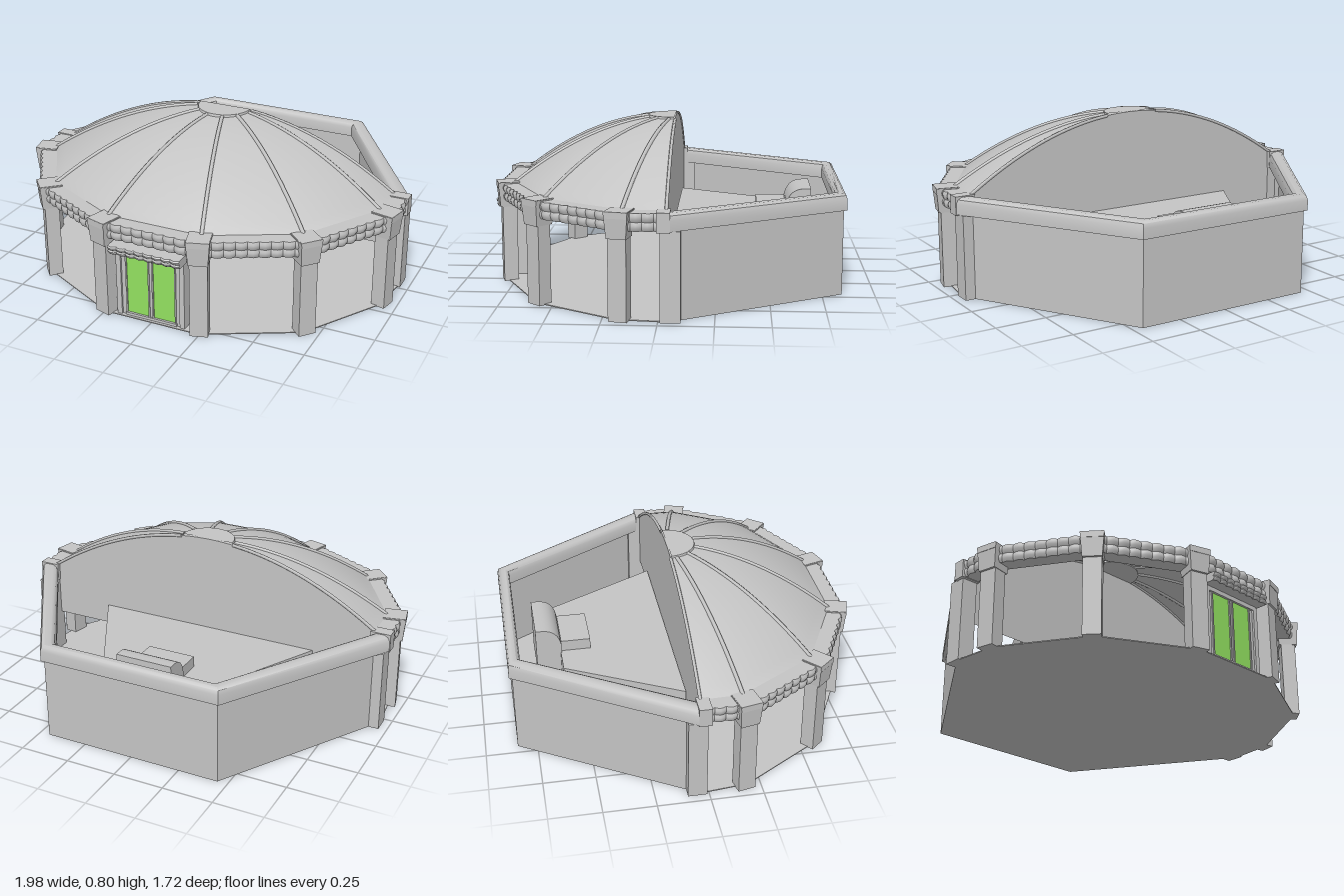
import * as THREE from 'three';
import { toCreasedNormals } from 'three/addons/utils/BufferGeometryUtils.js';

const stone = new THREE.MeshStandardMaterial({ color: 0xc4c4c4, side: THREE.DoubleSide });
stone.name = 'grey stone';
const glass = new THREE.MeshStandardMaterial({ color: 0x92e060 });
glass.name = 'green glass';

const ZB = -0.035; // plane of the dome's flat back

function part(parent, name, geometry, x = 0, y = 0, z = 0, turn = 0, material = stone) {
  const m = new THREE.Mesh(geometry, material);
  m.name = name;
  m.position.set(x, y, z);
  m.rotation.y = turn;
  parent.add(m);
  return m;
}

const box = (w, h, d) => new THREE.BoxGeometry(w, h, d);

// Surface through a grid of points given by fn(i, j)
function loft(rows, cols, fn, crease = 0.6) {
  const pos = [], idx = [];
  for (let i = 0; i < rows; i++) for (let j = 0; j < cols; j++) pos.push(...fn(i, j));
  for (let i = 0; i < rows - 1; i++) for (let j = 0; j < cols - 1; j++) {
    const a = i * cols + j, b = a + cols;
    idx.push(a, a + 1, b, b, a + 1, b + 1);
  }
  const g = new THREE.BufferGeometry();
  g.setAttribute('position', new THREE.Float32BufferAttribute(pos, 3));
  g.setIndex(idx);
  g.computeVertexNormals();
  return toCreasedNormals(g, crease);
}

// Right half of a plan, mirrored into a full run from +x to -x
const mirrored = (pts) => [...pts, ...pts.slice().reverse().map(([x, z]) => [-x, z])];

// Flat plate lying in plan
function slab(pts, height) {
  const s = new THREE.Shape(pts.map(([x, z]) => new THREE.Vector2(x, -z)));
  return new THREE.ExtrudeGeometry(s, { depth: height, bevelEnabled: false }).rotateX(-Math.PI / 2);
}

// Rounded cornice block, bulging and leaning outward on +z
function corniceBlock(w, h, d) {
  const g = new THREE.BoxGeometry(w, h, d, 4, 6, 1);
  const p = g.attributes.position;
  for (let i = 0; i < p.count; i++) {
    if (p.getZ(i) < 0) continue;
    const u = p.getX(i) / w + 0.5, v = p.getY(i) / h + 0.5;
    const bulge = Math.abs(Math.sin(v * Math.PI * 2)) * 0.008 + Math.sin(u * Math.PI) * 0.01;
    p.setZ(i, d / 2 - 0.018 + bulge + v * 0.008);
  }
  g.computeVertexNormals();
  return toCreasedNormals(g, 0.7);
}

export function createModel() {
  const model = new THREE.Group();
  model.name = 'domedPavilion';
  const plan = mirrored([[0.925, -0.035], [0.925, 0.17], [0.675, 0.565], [0.245, 0.78]]);

  // Floor
  const floorPlan = [...mirrored([[0.45, -0.845], [0.95, -0.035], [0.925, 0.19], [0.68, 0.58], [0.245, 0.8]])];
  part(model, 'floor', slab(floorPlan, 0.005));

  // Columns with flared capitals
  const columns = new THREE.Group();
  columns.name = 'columns';
  model.add(columns);
  plan.forEach(([x, z], i) => {
    if (i === 0 || i === plan.length - 1) {
      part(columns, 'endPilaster', box(0.08, 0.41, 0.09), Math.sign(x) * 0.92, 0.205, -0.055);
      part(columns, 'endCapital', box(0.1, 0.09, 0.06), x, 0.45, -0.025);
      return;
    }
    const turn = Math.atan2(x, z - ZB);
    part(columns, 'column', box(0.085, 0.42, 0.07), x, 0.21, z, turn);
    const cap = new THREE.CylinderGeometry(0.078, 0.064, 0.12, 4, 1).toNonIndexed().rotateY(Math.PI / 4);
    cap.computeVertexNormals();
    part(columns, 'capital', cap, x, 0.435, z, turn);
    part(columns, 'capitalTop', box(0.105, 0.03, 0.11), x, 0.482, z, turn);
  });

  // Scalloped cornice between the columns
  const cornice = new THREE.Group();
  cornice.name = 'cornice';
  model.add(cornice);
  for (let i = 0; i < plan.length - 1; i++) {
    const [ax, az] = plan[i], [bx, bz] = plan[i + 1];
    const len = Math.hypot(bx - ax, bz - az), n = Math.round(len / 0.052);
    const turn = Math.atan2(bz - az, -(bx - ax));
    const g = corniceBlock(len / n, 0.082, 0.085);
    for (let k = 0; k < n; k++) {
      const t = (k + 0.5) / n;
      part(cornice, 'corniceBlock', g, ax + (bx - ax) * t, 0.449, az + (bz - az) * t, turn);
    }
  }

  // Half dome with ribs and a flat crown
  const eave = mirrored([[0.89, ZB], [0.885, 0.16], [0.65, 0.54], [0.24, 0.745]]);
  const steps = 20;
  const domePoint = ([x, z], t) => [x * t, 0.49 + 0.31 * (1 - t * t), ZB + (z - ZB) * t];
  part(model, 'domeShell', loft(eave.length, steps + 1, (i, j) => domePoint(eave[i], j / steps), 0.9));
  eave.forEach((e, i) => {
    const pts = [];
    for (let k = 1; k <= 12; k++) pts.push(new THREE.Vector3(...domePoint(e, 0.08 + 0.92 * k / 12)));
    const end = i === 0 || i === eave.length - 1;
    part(model, 'domeRib', new THREE.TubeGeometry(new THREE.CatmullRomCurve3(pts), 24, end ? 0.008 : 0.01, 6));
  });
  part(model, 'domeCrown', new THREE.CylinderGeometry(0.135, 0.14, 0.02, 20, 1, false, -Math.PI / 2, Math.PI), 0, 0.792, ZB + 0.005);

  // Flat wall closing the dome's back, open at the bottom
  const back = new THREE.Shape();
  back.moveTo(-0.89, 0.21);
  back.lineTo(0.89, 0.21);
  for (let k = 0; k <= 40; k++) {
    const t = 1 - k / 20;
    back.lineTo(0.89 * t, 0.49 + 0.31 * (1 - t * t));
  }
  part(model, 'domeBackWall', new THREE.ShapeGeometry(back), 0, 0, ZB);

  // Rear court walls
  const wall = mirrored([[0.95, -0.035], [0.45, -0.845]]);
  part(model, 'rearWall', loft(4, 2, (i, j) => [wall[i][0], j * 0.43, wall[i][1]], 0.1));

  // Rounded coping on the rear walls
  const outer = mirrored([[0.975, -0.05], [0.46, -0.86]]);
  const inner = mirrored([[0.885, -0.04], [0.41, -0.8]]);
  const profile = [[1, 0.41], [0, 0.41], [0, 0.46], [0.1, 0.48], [0.3, 0.49], [0.7, 0.49], [0.9, 0.48], [1, 0.46], [1, 0.41]];
  part(model, 'rearCoping', loft(4, profile.length, (i, j) => {
    const [s, y] = profile[j];
    return [outer[i][0] + (inner[i][0] - outer[i][0]) * s, y, outer[i][1] + (inner[i][1] - outer[i][1]) * s];
  }));

  // Raised roof deck in the court with its vent
  part(model, 'courtDeck', slab(mirrored([[0.58, ZB - 0.005], [0.285, -0.59]]), 0.1), 0, 0.215, 0);
  part(model, 'ventBase', box(0.24, 0.06, 0.145), -0.01, 0.34, -0.513);
  const hood = new THREE.Shape();
  hood.moveTo(0.71, 0.2);
  hood.lineTo(0.71, 0.45);
  hood.lineTo(0.68, 0.45);
  hood.quadraticCurveTo(0.6, 0.45, 0.585, 0.36);
  hood.lineTo(0.585, 0.2);
  const hoodGeo = new THREE.ExtrudeGeometry(hood, { depth: 0.285, bevelEnabled: false, curveSegments: 8 });
  part(model, 'ventHood', toCreasedNormals(hoodGeo.rotateY(Math.PI / 2), 0.6), -0.148, 0, 0);

  // Entrance: jambs, glazed double door and scalloped canopy
  const entrance = new THREE.Group();
  entrance.name = 'entrance';
  entrance.position.x = -0.007;
  model.add(entrance);
  for (const s of [-1, 1]) {
    part(entrance, 'jamb', box(0.025, 0.345, 0.13), s * 0.165, 0.1725, 0.725);
    part(entrance, 'innerJamb', box(0.024, 0.345, 0.05), s * 0.143, 0.1725, 0.755);
    part(entrance, 'doorPane', box(0.112, 0.31, 0.008), s * 0.07, 0.175, 0.775, 0, glass);
    part(entrance, 'doorStile', box(0.007, 0.33, 0.02), s * 0.01, 0.17, 0.775);
    part(entrance, 'doorStile', box(0.007, 0.33, 0.02), s * 0.128, 0.17, 0.775);
  }
  part(entrance, 'doorMullion', box(0.014, 0.34, 0.016), 0, 0.17, 0.772);
  part(entrance, 'doorSill', box(0.27, 0.018, 0.025), 0, 0.009, 0.775);
  part(entrance, 'doorHead', box(0.35, 0.025, 0.13), 0, 0.3425, 0.725);
  const canopy = corniceBlock(0.046, 0.042, 0.08);
  for (let k = 0; k < 8; k++) part(entrance, 'canopyBlock', canopy, (k - 3.5) * 0.046, 0.372, 0.815);

  return model;
}
